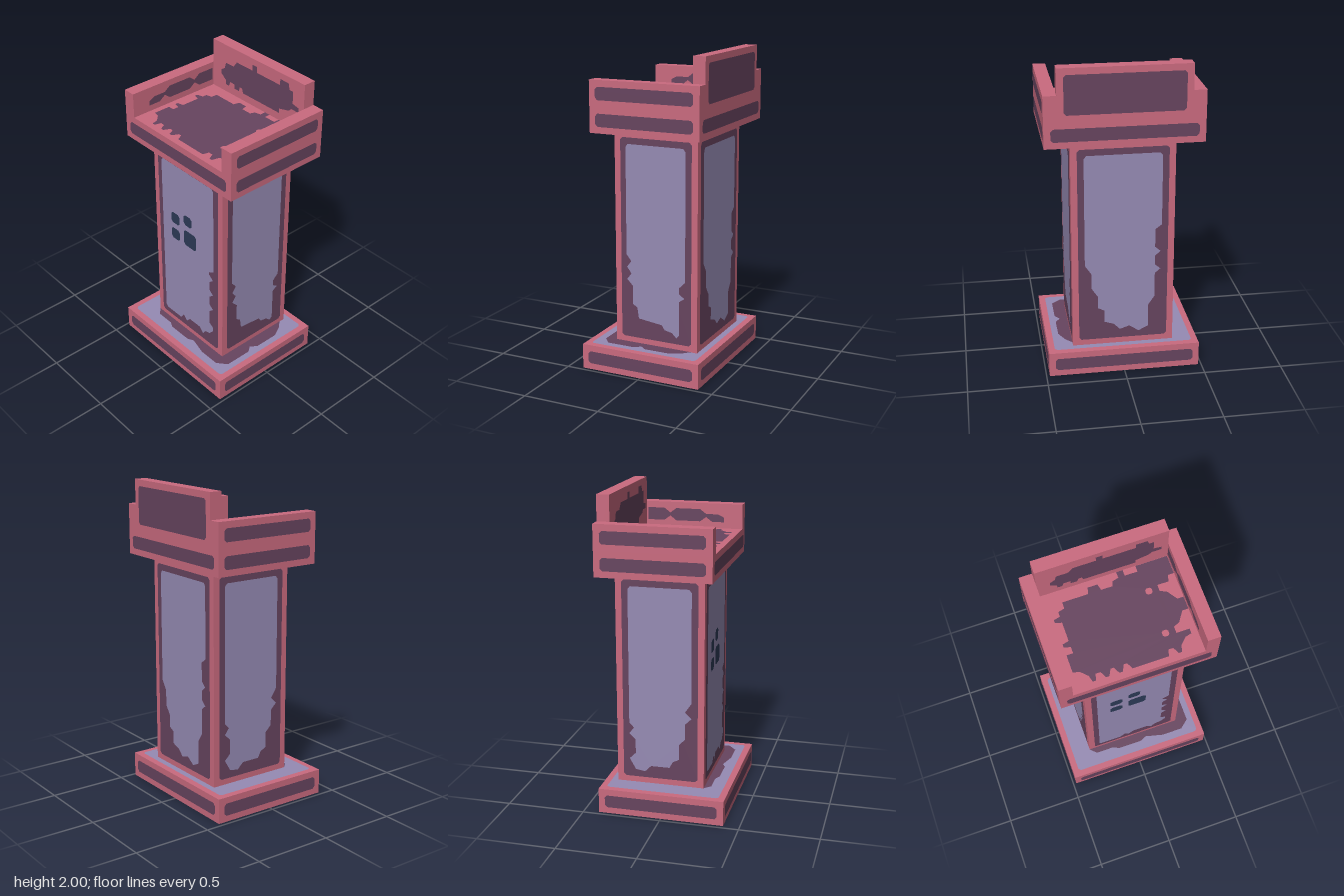
import * as THREE from 'three';

const mat = (name, color) => {
  const m = new THREE.MeshStandardMaterial({ color });
  m.name = name;
  return m;
};

export function createModel() {
  const root = new THREE.Group();
  root.name = 'pedestal';
  const pink = mat('pink', 0xca6a7f);
  const purple = mat('darkPurple', 0x67445f);
  const lavender = mat('lavender', 0x968bb4);
  const navy = mat('navy', 0x2c3a57);

  // Solid block from its min and max corners
  function block(name, x0, x1, y0, y1, z0, z1) {
    const m = new THREE.Mesh(new THREE.BoxGeometry(x1 - x0, y1 - y0, z1 - z0), pink);
    m.position.set((x0 + x1) / 2, (y0 + y1) / 2, (z0 + z1) / 2);
    m.name = name;
    root.add(m);
  }

  // Rectangle with cut corners
  const rect = (u0, u1, v0, v1, c = 0.015) => [
    [u0 + c, v0], [u1 - c, v0], [u1, v0 + c], [u1, v1 - c],
    [u1 - c, v1], [u0 + c, v1], [u0, v1 - c], [u0, v0 + c],
  ];

  // Flat painted face; u runs to the right and v upwards as seen from outside
  const H = Math.PI / 2;
  const turns = {
    front: [0, 0], right: [0, H], back: [0, Math.PI], left: [0, -H],
    top: [-H, 0], bottom: [H, 0],
  };
  const normals = {
    front: [0, 0, 1], right: [1, 0, 0], back: [0, 0, -1], left: [-1, 0, 0],
    top: [0, 1, 0], bottom: [0, -1, 0],
  };
  function paint(name, material, side, distance, pts, layer = 1, holes = []) {
    const toVec = (p) => new THREE.Vector2(p[0], p[1]);
    const shape = new THREE.Shape(pts.map(toVec));
    holes.forEach((h) => shape.holes.push(new THREE.Path(h.map(toVec))));
    const m = new THREE.Mesh(new THREE.ShapeGeometry(shape), material);
    m.rotation.set(turns[side][0], turns[side][1], 0);
    m.position.set(...normals[side]).multiplyScalar(distance + 0.002 * layer);
    m.name = name;
    root.add(m);
  }

  // Main blocks
  block('base', -0.48, 0.48, 0, 0.16, -0.4, 0.4);
  block('column', -0.32, 0.32, 0.16, 1.52, -0.32, 0.24);
  block('topSlab', -0.48, 0.48, 1.52, 1.68, -0.4, 0.32);
  block('leftWall', 0.4, 0.48, 1.68, 1.84, -0.4, 0.32);
  block('rightWall', -0.48, -0.4, 1.68, 1.84, -0.4, 0.32);
  block('backBoard', -0.4, 0.4, 1.68, 2, -0.4, -0.32);

  // Dark strips around the base, the slab and the walls
  for (const [side, dBase, dTop] of [['front', 0.4, 0.32], ['back', 0.4, 0.4]]) {
    paint('baseStrip', purple, side, dBase, rect(-0.44, 0.44, 0.04, 0.12));
    paint('slabStrip', purple, side, dTop, rect(-0.44, 0.44, 1.56, 1.64));
  }
  for (const [side, u0, u1] of [['right', -0.28, 0.36], ['left', -0.36, 0.28]]) {
    paint('baseStrip', purple, side, 0.48, rect(-0.36, 0.36, 0.04, 0.12));
    paint('slabStrip', purple, side, 0.48, rect(u0, u1, 1.56, 1.64));
    paint('wallStrip', purple, side, 0.48, rect(u0, u1, 1.72, 1.8));
  }
  paint('backBoardPanel', purple, 'back', 0.4, rect(-0.36, 0.36, 1.72, 1.96));

  // Column panels: dark frame with a worn light field
  const fields = {
    front: [[-0.245, 1.42], [-0.245, 0.26], [-0.23, 0.24], [-0.09, 0.24], [-0.06, 0.28],
      [-0.03, 0.245], [0, 0.28], [0.1, 0.28], [0.135, 0.245], [0.16, 0.28], [0.2, 0.29],
      [0.235, 0.33], [0.235, 0.36], [0.2, 0.38], [0.2, 0.48], [0.235, 0.51], [0.2, 0.54],
      [0.2, 0.6], [0.235, 0.63], [0.2, 0.66], [0.2, 0.72], [0.235, 0.75], [0.2, 0.78],
      [0.2, 0.8], [0.24, 0.82], [0.24, 1.42], [0.225, 1.44], [-0.23, 1.44]],
    right: [[-0.163, 1.42], [-0.163, 0.74], [-0.13, 0.7], [-0.16, 0.66], [-0.13, 0.62],
      [-0.16, 0.58], [-0.12, 0.54], [-0.12, 0.42], [-0.09, 0.4], [-0.08, 0.33], [0.08, 0.31],
      [0.1, 0.28], [0.15, 0.27], [0.18, 0.24], [0.2, 0.26], [0.2, 0.4], [0.2, 0.48],
      [0.235, 0.505], [0.2, 0.53], [0.2, 0.57], [0.24, 0.61], [0.24, 1.42], [0.225, 1.44],
      [-0.15, 1.44]],
    back: [[-0.24, 1.42], [-0.24, 0.72], [-0.2, 0.66], [-0.2, 0.56], [-0.16, 0.5],
      [-0.16, 0.42], [-0.12, 0.4], [-0.12, 0.32], [-0.06, 0.3], [-0.02, 0.26], [0.04, 0.28],
      [0.1, 0.24], [0.16, 0.27], [0.16, 0.42], [0.2, 0.48], [0.2, 0.64], [0.235, 0.67],
      [0.2, 0.7], [0.2, 0.76], [0.235, 0.79], [0.2, 0.82], [0.2, 0.94], [0.24, 0.97],
      [0.24, 1.42], [0.225, 1.44], [-0.225, 1.44]],
    left: [[-0.24, 1.42], [-0.24, 0.56], [-0.21, 0.53], [-0.24, 0.49], [-0.2, 0.45],
      [-0.2, 0.36], [-0.24, 0.32], [-0.2, 0.25], [-0.14, 0.24], [-0.1, 0.28], [0.02, 0.28],
      [0.04, 0.32], [0.08, 0.34], [0.08, 0.44], [0.12, 0.48], [0.12, 0.58], [0.16, 0.62],
      [0.12, 0.66], [0.16, 0.72], [0.16, 1.42], [0.145, 1.44], [-0.225, 1.44]],
  };
  const frames = {
    front: [0.24, -0.28, 0.28], right: [0.32, -0.2, 0.28],
    back: [0.32, -0.28, 0.28], left: [0.32, -0.28, 0.2],
  };
  for (const side in frames) {
    const [d, u0, u1] = frames[side];
    paint('columnFrame', purple, side, d, rect(u0, u1, 0.2, 1.48));
    paint('columnField', lavender, side, d, fields[side], 2);
  }

  // Four dark marks on the front
  for (const [u, v, r] of [[-0.12, 1.04, 0.04], [0, 1.08, 0.038], [-0.12, 0.92, 0.04], [0.02, 0.945, 0.058]]) {
    paint('frontMark', navy, 'front', 0.24, rect(u - r, u + r, v - r, v + r), 3);
  }

  // Worn patch on the slab, listed as x and z
  const slabPatch = [
    [-0.28, -0.24], [-0.28, -0.2], [-0.32, -0.19], [-0.32, -0.16], [-0.36, -0.15], [-0.36, -0.13],
    [-0.32, -0.12], [-0.32, 0], [-0.36, 0.01], [-0.36, 0.03], [-0.32, 0.04], [-0.32, 0.08],
    [-0.36, 0.08], [-0.36, 0.19], [-0.32, 0.2], [-0.28, 0.24], [-0.27, 0.28], [-0.25, 0.28],
    [-0.24, 0.24], [-0.21, 0.24], [-0.19, 0.28], [-0.17, 0.28], [-0.15, 0.24], [-0.13, 0.24],
    [-0.11, 0.28], [-0.09, 0.28], [-0.07, 0.24], [-0.05, 0.24], [-0.03, 0.28], [0.19, 0.28],
    [0.2, 0.24], [0.23, 0.24], [0.25, 0.28], [0.27, 0.28], [0.28, 0.24], [0.32, 0.2],
    [0.36, 0.19], [0.36, 0.16], [0.28, 0.16], [0.28, 0.12], [0.32, 0.1], [0.36, 0.04],
    [0.398, 0.04], [0.398, -0.04], [0.36, -0.04], [0.32, -0.1], [0.28, -0.12], [0.28, -0.16],
    [0.35, -0.16], [0.36, -0.2], [0.398, -0.2], [0.398, -0.318], [0.2, -0.318], [0.2, -0.28],
    [0.12, -0.28], [0.12, -0.318], [0.08, -0.318], [0.08, -0.28], [0.04, -0.27], [0.03, -0.24],
    [-0.04, -0.24], [-0.05, -0.28], [-0.11, -0.28], [-0.12, -0.24],
  ].map(([x, z]) => [x, -z]);
  const spot = (v) => rect(0.2, 0.24, v - 0.02, v + 0.02, 0.01);
  paint('slabPatch', purple, 'top', 1.68, slabPatch, 1, [spot(0.14), spot(-0.14)]);

  // Worn patch on the front of the back board
  paint('backBoardPatch', purple, 'front', -0.32, [
    [-0.32, 1.82], [-0.32, 1.79], [-0.28, 1.76], [-0.28, 1.73], [-0.25, 1.73], [-0.24, 1.76],
    [-0.2, 1.76], [-0.2, 1.73], [-0.16, 1.73], [-0.15, 1.76], [-0.13, 1.76], [-0.12, 1.73],
    [0.2, 1.73], [0.2, 1.76], [0.28, 1.78], [0.3, 1.8], [0.36, 1.8], [0.36, 1.83], [0.31, 1.84],
    [0.31, 1.92], [0.28, 1.92], [0.27, 1.96], [0.2, 1.96], [0.2, 1.92], [0, 1.92], [0, 1.96],
    [-0.04, 1.96], [-0.04, 1.92], [-0.18, 1.92], [-0.21, 1.88], [-0.28, 1.88], [-0.29, 1.84],
  ]);

  // Worn patches on the inner faces of the walls
  const wallPatch = [
    [-0.2, 1.72], [-0.12, 1.72], [-0.08, 1.75], [-0.04, 1.72], [0.12, 1.72], [0.16, 1.75],
    [0.2, 1.72], [0.31, 1.72], [0.31, 1.8], [0.2, 1.8], [0.16, 1.77], [0.12, 1.8],
    [-0.04, 1.8], [-0.08, 1.77], [-0.16, 1.77], [-0.2, 1.75],
  ];
  paint('rightWallPatch', purple, 'right', -0.4, wallPatch);
  paint('leftWallPatch', purple, 'left', -0.4, wallPatch.map(([u, v]) => [-u, v]).reverse());

  // Top of the base: light field with a worn ring at the foot of the column
  paint('baseTopField', lavender, 'top', 0.16, rect(-0.44, 0.44, -0.36, 0.36));
  paint('baseTopPatch', purple, 'top', 0.16, [
    [-0.32, -0.24], [-0.28, -0.28], [-0.16, -0.28], [-0.12, -0.3], [0.04, -0.3], [0.08, -0.28],
    [0.2, -0.31], [0.34, -0.31], [0.4, -0.26], [0.4, -0.08], [0.37, -0.04], [0.4, 0],
    [0.4, 0.16], [0.36, 0.24], [0.32, 0.28], [-0.32, 0.28],
  ], 2);

  // Undersides
  paint('slabUnderside', purple, 'bottom', -1.52, rect(-0.44, 0.44, -0.36, 0.28));
  paint('baseUnderFrame', purple, 'bottom', 0, rect(-0.44, 0.44, -0.36, 0.36), -0.5 + 1);
  paint('baseUnderField', lavender, 'bottom', 0, rect(-0.4, 0.4, -0.32, 0.32, 0.025), 1.5);

  return root;
}
